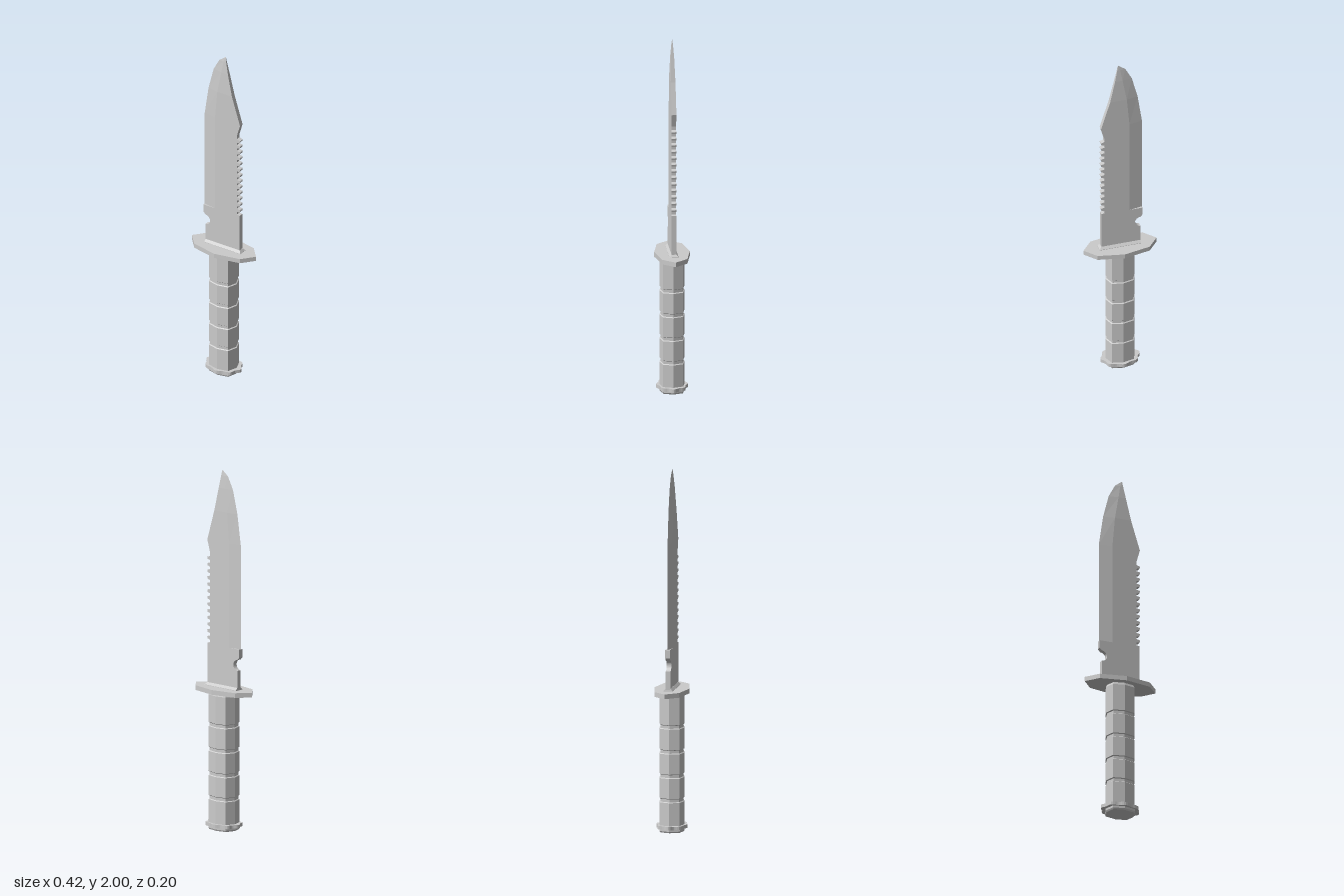
import * as THREE from 'three';

const material = new THREE.MeshStandardMaterial({ color: 0xcccccc, flatShading: true });

// Skin a stack of closed rings (ordered +x, +z, -x, -z) and cap both ends.
function loft(name, rings) {
  const pos = [];
  const tri = (...pts) => pts.forEach((p) => pos.push(...p));
  const centre = (ring) => [0, 1, 2].map((k) => ring.reduce((s, p) => s + p[k], 0) / ring.length);
  const n = rings[0].length;
  const last = rings[rings.length - 1];
  const low = centre(rings[0]);
  const high = centre(last);
  for (let i = 0; i < n; i++) {
    const j = (i + 1) % n;
    for (let r = 0; r < rings.length - 1; r++) {
      const a = rings[r], b = rings[r + 1];
      tri(a[i], b[i], a[j]);
      tri(a[j], b[i], b[j]);
    }
    tri(low, rings[0][i], rings[0][j]);
    tri(high, last[j], last[i]);
  }
  const geometry = new THREE.BufferGeometry();
  geometry.setAttribute('position', new THREE.Float32BufferAttribute(pos, 3));
  geometry.computeVertexNormals();
  const mesh = new THREE.Mesh(geometry, material);
  mesh.name = name;
  return mesh;
}

// Place a flat [x, z] outline at a height, scaled about the axis.
const ringAt = (outline, y, s = 1) => outline.map(([x, z]) => [x * s, y, z * s]);

// Eight-sided outline from three radii points, mirrored in x and z.
const octagon = (x, mx, mz, z) => [
  [x, 0], [mx, mz], [0, z], [-mx, mz], [-x, 0], [-mx, -mz], [0, -z], [mx, -mz],
];

function makeBlade() {
  const T = 0.013;
  // Levels: height, cutting edge x, bevel x, spine x, half thickness
  const levels = [[1.02, -0.125, -0.05, 0.11, T]];
  // Saw teeth along the spine
  const teeth = 13, pitch = 0.037;
  for (let i = 0; i < teeth; i++) {
    const y = 1.025 + i * pitch;
    for (const [dy, x] of [[0, 0.11], [0.003, 0.092], [0.018, 0.092], [0.023, 0.11], [0.034, 0.113]]) {
      levels.push([y + dy, -0.125, -0.05, x, T]);
    }
  }
  // Clip point
  levels.push(
    [1.51, -0.125, -0.05, 0.092, T],
    [1.53, -0.125, -0.05, 0.092, T],
    [1.6, -0.125, -0.05, 0.112, T],
    [1.77, -0.1, -0.035, 0.06, T],
    [1.9, -0.067, -0.012, 0.031, 0.009],
    [1.97, -0.03, 0, 0.017, 0.004],
    [2.0, 0.009, 0.01, 0.012, 0.0005],
  );
  return loft('blade', levels.map(([y, e, b, s, h]) => [
    [s, y, -h], [s, y, h], [b, y, h], [e, y, 0], [b, y, -h],
  ]));
}

// Unsharpened base of the blade with a finger notch
function makeBladeBase() {
  const shape = new THREE.Shape();
  shape.moveTo(0.11, 0.78);
  shape.lineTo(0.11, 1.02);
  shape.lineTo(-0.125, 1.02);
  shape.lineTo(-0.125, 0.975);
  shape.lineTo(-0.112, 0.96);
  shape.absarc(-0.112, 0.93, 0.03, Math.PI / 2, -Math.PI / 2, true);
  shape.lineTo(-0.112, 0.78);
  const geometry = new THREE.ExtrudeGeometry(shape, { depth: 0.026, bevelEnabled: false, curveSegments: 8 });
  geometry.translate(0, 0, -0.013);
  const mesh = new THREE.Mesh(geometry, material);
  mesh.name = 'bladeBase';
  return mesh;
}

function makeCollar() {
  const rect = (y, x0, x1, z) => [[x1, y, -z], [x1, y, z], [x0, y, z], [x0, y, -z]];
  return loft('collar', [rect(0.785, -0.113, 0.122, 0.025), rect(0.792, -0.113, 0.122, 0.025), rect(0.805, -0.111, 0.111, 0.0135)]);
}

// Grip with shallow grooves
function makeGrip() {
  const outline = octagon(0.083, 0.063, 0.055, 0.069);
  const rings = [ringAt(outline, 0.03)];
  for (const y of [0.178, 0.312, 0.447, 0.585]) {
    for (const [dy, s] of [[-0.012, 1], [-0.008, 0.93], [0.008, 0.93], [0.012, 1]]) {
      rings.push(ringAt(outline, y + dy, s));
    }
  }
  rings.push(ringAt(outline, 0.75), ringAt(outline, 0.767, 0.92));
  return loft('grip', rings);
}

// Scalloped flange at the butt
function makePommelFlange() {
  const outline = [];
  const count = 64;
  for (let i = 0; i < count; i++) {
    const a = (i / count) * Math.PI * 2;
    const s = 0.945 + 0.055 * Math.cos(8 * a);
    outline.push([0.112 * s * Math.cos(a), 0.087 * s * Math.sin(a)]);
  }
  return loft('pommelFlange', [ringAt(outline, 0.02), ringAt(outline, 0.039)]);
}

export function createModel() {
  const group = new THREE.Group();
  group.name = 'knife';
  const guard = octagon(0.208, 0.148, 0.069, 0.098);
  const cap = octagon(0.085, 0.065, 0.056, 0.07);
  group.add(
    makeBlade(),
    makeBladeBase(),
    makeCollar(),
    loft('guard', [ringAt(guard, 0.764), ringAt(guard, 0.79)]),
    makeGrip(),
    makePommelFlange(),
    loft('pommelCap', [ringAt(cap, 0, 0.94), ringAt(cap, 0.008), ringAt(cap, 0.03)]),
  );
  return group;
}
